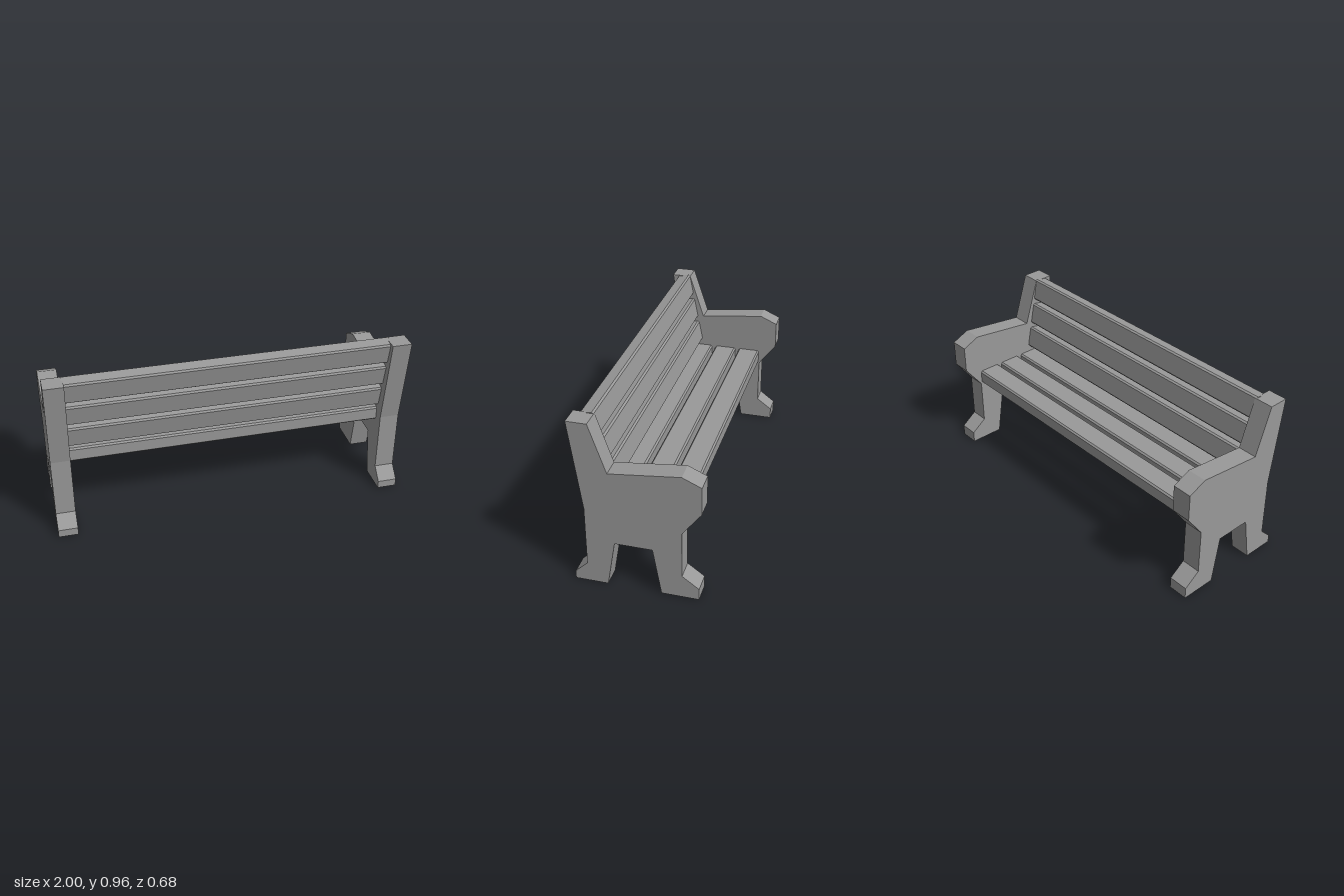
import * as THREE from 'three';

// Extrudes a (z, y) outline along x, centred on x = 0
function extrudeAlongX(outline, length) {
  const shape = new THREE.Shape(outline.map(([z, y]) => new THREE.Vector2(-z, y)));
  const geometry = new THREE.ExtrudeGeometry(shape, { depth: length, bevelEnabled: false });
  return geometry.translate(0, 0, -length / 2).rotateY(Math.PI / 2);
}

// Plank section with chamfered edges
function plankOutline(width, height, c) {
  const w = width / 2, h = height / 2;
  return [
    [-w + c, -h], [w - c, -h], [w, -h + c], [w, h - c],
    [w - c, h], [-w + c, h], [-w, h - c], [-w, -h + c],
  ];
}

export function createModel() {
  const bench = new THREE.Group();
  bench.name = 'bench';
  const grey = new THREE.MeshStandardMaterial({ color: 0x999999 });
  grey.name = 'grey';

  const add = (name, geometry, x, y, z, tilt = 0) => {
    const mesh = new THREE.Mesh(geometry, grey);
    mesh.name = name;
    mesh.position.set(x, y, z);
    mesh.rotation.x = tilt;
    bench.add(mesh);
  };

  // End panels: backrest post, armrest and two feet in one outline
  const panel = extrudeAlongX([
    [0.34, 0.957], [0.23, 0.957], [0.14, 0.69], [-0.237, 0.735], [-0.338, 0.69],
    [-0.338, 0.535], [-0.237, 0.4], [-0.237, 0.133], [-0.327, 0.067], [-0.327, 0],
    [-0.127, 0], [-0.083, 0.268], [0.118, 0.268], [0.162, 0], [0.34, 0],
    [0.34, 0.045], [0.272, 0.112], [0.272, 0.457],
  ], 0.11);
  add('leftEndPanel', panel, 0.945, 0, 0);
  add('rightEndPanel', panel, -0.945, 0, 0);

  // Three flat seat slats and three leaning backrest slats
  const seatSlat = extrudeAlongX(plankOutline(0.132, 0.084, 0.009), 1.8);
  const backSlat = extrudeAlongX(plankOutline(0.08, 0.13, 0.009), 1.8);
  const lean = THREE.MathUtils.degToRad(11.5);
  for (let i = 0; i < 3; i++) {
    add(`seatSlat${i + 1}`, seatSlat, 0, 0.447, -0.165 + i * 0.155);
    add(`backSlat${i + 1}`, backSlat, 0, 0.583 + i * 0.155, 0.196 + i * 0.0315, lean);
  }
  return bench;
}
